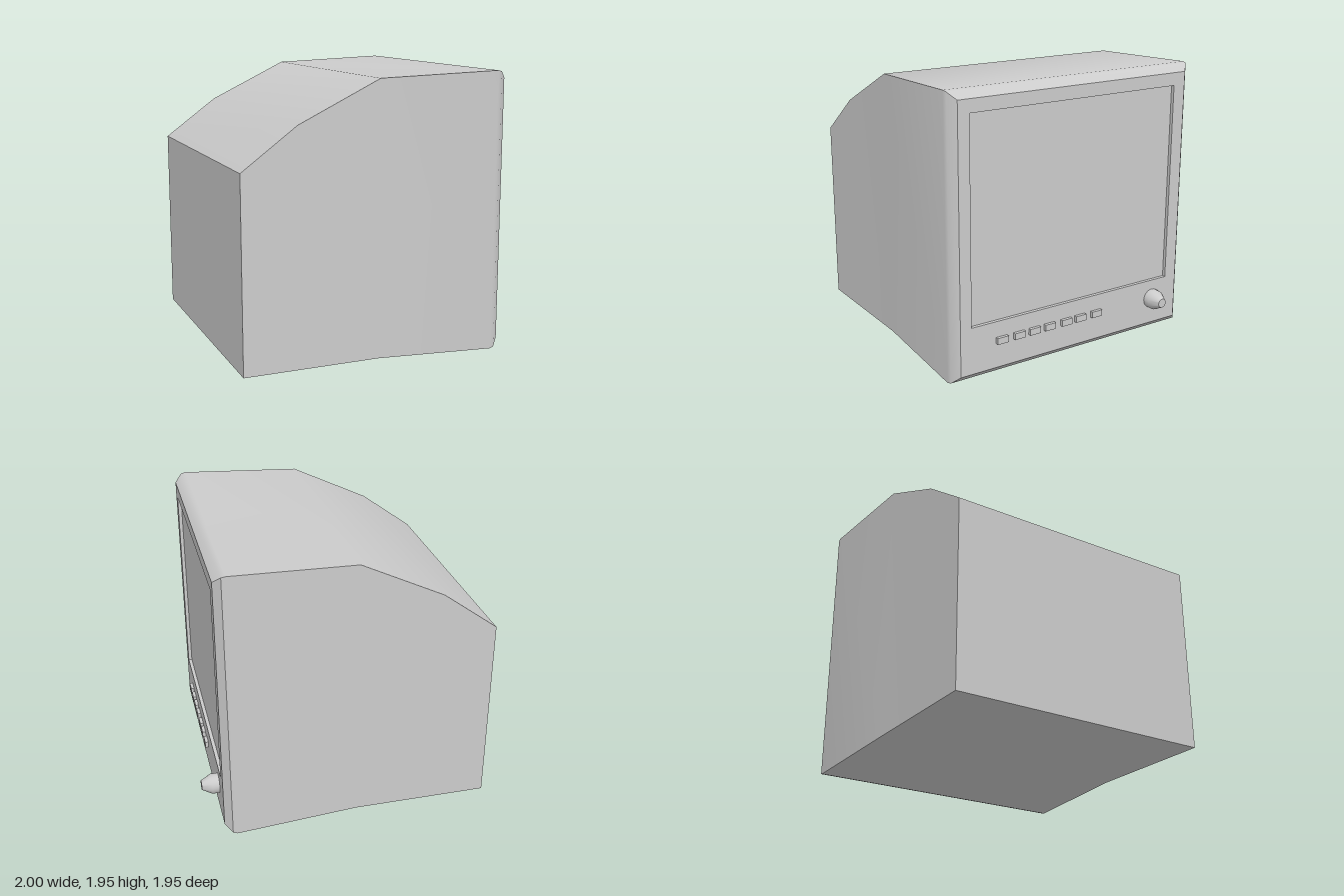
import * as THREE from 'three';
import { toCreasedNormals } from 'three/addons/utils/BufferGeometryUtils.js';

const material = new THREE.MeshStandardMaterial({ color: 0xcccccc });

// Rectangular section at x, counter-clockwise seen from +x
const ring = ([x, y0, y1, z0, z1]) => [[x, y0, z1], [x, y0, z0], [x, y1, z0], [x, y1, z1]];

// Skin of quads through rectangular sections, with optional end caps
function loft(sections, capStart, capEnd) {
  const rings = sections.map(ring), pos = [];
  const quad = (a, b, c, d) => pos.push(...a, ...b, ...c, ...a, ...c, ...d);
  for (let s = 0; s < rings.length - 1; s++) {
    const a = rings[s], b = rings[s + 1];
    for (let i = 0; i < 4; i++) {
      const j = (i + 1) % 4;
      quad(a[i], a[j], b[j], b[i]);
    }
  }
  if (capStart) quad(...[...rings[0]].reverse());
  if (capEnd) quad(...rings[rings.length - 1]);
  const geometry = new THREE.BufferGeometry();
  geometry.setAttribute('position', new THREE.Float32BufferAttribute(pos, 3));
  return toCreasedNormals(geometry, 0.6);
}

export function createModel() {
  const group = new THREE.Group();
  const add = (name, geometry, x = 0, y = 0, z = 0) => {
    const mesh = new THREE.Mesh(geometry, material);
    mesh.name = name;
    mesh.position.set(x, y, z);
    group.add(mesh);
    return mesh;
  };

  // Housing: sloped back, flared front, chamfered rim
  const front = [0.88, 0.06, 1.895, -0.92, 0.915];
  add('housing', loft([
    [-1, 0.04, 1.365, -0.94, 0.935],
    [-0.62, 0.04, 1.645, -0.94, 0.935],
    [-0.05, 0.04, 1.92, -0.94, 0.935],
    [0.8, 0.005, 1.95, -0.975, 0.97],
    [0.83, 0.012, 1.943, -0.97, 0.963],
    front,
  ], true, false));

  // Bezel with the screen set back inside its opening
  const opening = [0.39, 1.805, -0.825, 0.83];
  add('bezel', loft([front, [0.88, ...opening], [0.855, ...opening]], false, false));
  add('screen', loft([[0.855, ...opening]], false, true));

  // Row of push buttons
  for (const z of [-0.185, -0.045, 0.075, 0.215, 0.34, 0.463, 0.6])
    add('button', new THREE.BoxGeometry(0.04, 0.045, 0.085), 0.883, 0.255, z);

  // Tapered control knob
  const profile = [[0.07, 0], [0.07, 0.05], [0.033, 0.12], [0, 0.12]].map(p => new THREE.Vector2(...p));
  const knob = add('knob', toCreasedNormals(new THREE.LatheGeometry(profile, 24), 0.6), 0.88, 0.25, -0.7);
  knob.rotation.z = -Math.PI / 2;

  return group;
}
